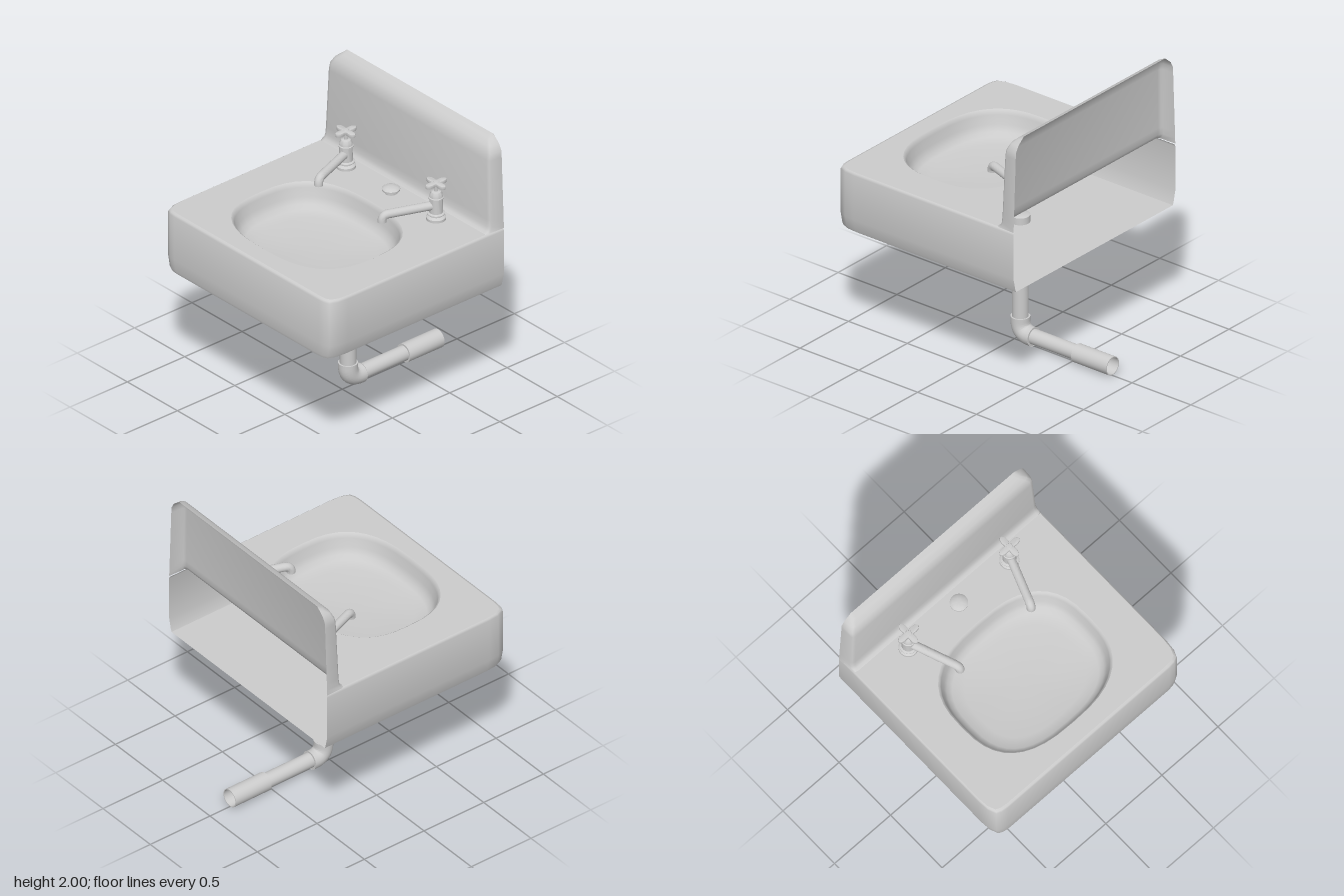
import * as THREE from 'three';
import { toCreasedNormals } from 'three/addons/utils/BufferGeometryUtils.js';

const material = new THREE.MeshStandardMaterial({ color: 0xcccccc, side: THREE.DoubleSide });

function add(parent, name, geometry, crease = 0.7) {
  const mesh = new THREE.Mesh(toCreasedNormals(geometry, crease), material);
  mesh.name = name;
  parent.add(mesh);
  return mesh;
}

// Surface through rows of [x, y, z] points
function loft(rows) {
  const n = rows[0].length, index = [];
  for (let i = 0; i < rows.length - 1; i++) {
    for (let j = 0; j < n - 1; j++) {
      const a = i * n + j, b = a + 1, c = a + n, d = c + 1;
      index.push(a, b, c, b, d, c);
    }
  }
  const g = new THREE.BufferGeometry();
  g.setAttribute('position', new THREE.Float32BufferAttribute(rows.flat(2), 3));
  g.setIndex(index);
  return g;
}

const lathe = (points, sides = 28) =>
  new THREE.LatheGeometry(points.map(([r, y]) => new THREE.Vector2(r, y)), sides);

// Flat horizontal sheet from [x, z] outlines
function sheet(outline, y, hole) {
  const vectors = (list) => list.map(([x, z]) => new THREE.Vector2(x, -z));
  const shape = new THREE.Shape(vectors(outline));
  if (hole) shape.holes.push(new THREE.Path(vectors(hole)));
  return new THREE.ShapeGeometry(shape).rotateX(-Math.PI / 2).translate(0, y, 0);
}

// Tube running a -> corner -> b with a rounded bend
function bentTube(a, corner, b, bend, radius) {
  const [A, C, B] = [a, corner, b].map((p) => new THREE.Vector3(...p));
  const p = C.clone().add(A.clone().sub(C).setLength(bend));
  const q = C.clone().add(B.clone().sub(C).setLength(bend));
  const path = new THREE.CurvePath();
  path.add(new THREE.LineCurve3(A, p));
  path.add(new THREE.QuadraticBezierCurve3(p, C, q));
  path.add(new THREE.LineCurve3(q, B));
  return new THREE.TubeGeometry(path, 40, radius, 20);
}

const BACK = 0.68, HALF = 0.835, DECK = 1.33, FLOOR = 0.885;

// Three-sided outline of the basin body, open at the wall
function bodyOutline(dx, dz, back = BACK) {
  const half = [[back, HALF], [-0.68, HALF], [-0.76, 0.828], [-0.815, 0.805], [-0.83, 0.77], [-HALF, 0.72]];
  const full = [...half.map(([x, z]) => [x, -z]), ...half.slice().reverse()];
  return full.map(([x, z]) => [x + dx * (BACK - x) / (BACK + HALF), z * (1 - dz / HALF)]);
}

// Rounded bowl outline
function bowlOutline(scale) {
  const points = [], n = 40, p = 2 / 2.7;
  const pow = (v) => Math.sign(v) * Math.abs(v) ** p;
  for (let i = 0; i <= n; i++) {
    const t = (i % n) / n * Math.PI * 2;
    points.push([-0.22 + 0.47 * scale * pow(Math.cos(t)), -0.57 * scale * pow(Math.sin(t))]);
  }
  return points;
}

function buildBasin() {
  const basin = new THREE.Group();
  basin.name = 'basin';
  // [y, x inset, z inset]
  const levels = [[FLOOR, 0.006, 0.025], [0.905, 0, 0.018], [0.985, 0, 0], [1.31, 0, 0], [1.324, 0.007, 0.004], [DECK, 0.022, 0.012]];
  add(basin, 'bodyWalls', loft(levels.map(([y, dx, dz]) => bodyOutline(dx, dz).map(([x, z]) => [x, y, z]))), 1);
  add(basin, 'underside', sheet(bodyOutline(0.006, 0.025), FLOOR));
  add(basin, 'deck', sheet(bodyOutline(0.022, 0.012, 0.53), DECK, bowlOutline(1).slice(0, -1)));

  // [scale, y]
  const rings = [[1, DECK], [0.98, 1.322], [0.965, 1.295], [0.935, 1.235], [0.9, 1.19], [0.84, 1.167], [0.7, 1.154], [0.4, 1.14], [0, 1.132]];
  add(basin, 'bowl', loft(rings.map(([s, y]) => bowlOutline(s).map(([x, z]) => [x, y, z]))), 1.2);

  // Splashback: profile from the deck fillet to the top edge
  const halfWidth = (y) => y < 1.93
    ? HALF - 0.025 * (y - DECK) / 0.6
    : 0.81 - 0.08 * (y - 1.93) / 0.07;
  const profile = [[0.53, DECK], [0.55, 1.342], [0.562, 1.37], [0.566, 1.42], [0.575, 1.86], [0.583, 1.905], [0.602, 1.95], [0.635, 1.98], [BACK, 2]];
  add(basin, 'splashback', loft(profile.map(([x, y]) => {
    const w = halfWidth(y);
    const side = [[BACK, w], [Math.min(x + 0.02, BACK), w - 0.004], [Math.min(x + 0.006, BACK), w - 0.014], [x, w - 0.035]];
    return [...side.map(([sx, z]) => [sx, y, -z]), ...side.reverse().map(([sx, z]) => [sx, y, z])];
  })), 1);
  return basin;
}

function buildTap(side) {
  const tap = new THREE.Group();
  tap.name = side > 0 ? 'leftTap' : 'rightTap';
  add(tap, 'tapBody', lathe([
    [0, -0.005], [0.066, -0.005], [0.066, 0.018], [0.056, 0.026], [0.048, 0.03], [0.048, 0.04], [0.06, 0.042],
    [0.06, 0.048], [0.046, 0.054], [0.044, 0.155], [0.05, 0.158], [0.05, 0.166], [0.044, 0.17],
    [0.042, 0.19], [0.032, 0.207], [0.014, 0.213], [0.013, 0.262], [0, 0.262]]));
  add(tap, 'spout', bentTube([0, 0.105, 0], [-0.355, 0.105, -0.133 * side], [-0.355, 0.055, -0.133 * side], 0.045, 0.03), 1);

  // Four-lobed handle
  const lobes = [];
  for (let i = 0; i < 64; i++) {
    const t = i / 64 * Math.PI * 2, r = 0.03 + 0.057 * Math.cos(2 * t) ** 2;
    lobes.push(new THREE.Vector2(r * Math.cos(t), r * Math.sin(t)));
  }
  const handle = new THREE.ExtrudeGeometry(new THREE.Shape(lobes), {
    depth: 0.014, bevelSize: 0.004, bevelOffset: -0.004, bevelThickness: 0.006, bevelSegments: 2 });
  add(tap, 'crossHandle', handle.rotateX(-Math.PI / 2).translate(0, 0.26, 0));
  add(tap, 'handleCap', lathe([[0.022, 0.278], [0.018, 0.284], [0, 0.286]]));
  tap.position.set(0.425, DECK, 0.45 * side);
  return tap;
}

function buildDrain() {
  const drain = new THREE.Group();
  drain.name = 'drain';
  const x = 0.05, y = 0.066;
  add(drain, 'downPipe', lathe([[0.055, 0.17], [0.055, 0.86], [0.066, 0.86], [0.066, 0.935], [0.055, 0.94], [0, 0.94]])).position.x = x;
  add(drain, 'elbow', bentTube([x, 0.188, 0], [x, y, 0], [0.165, y, 0], 0.095, 0.066), 1);
  add(drain, 'elbowTopRim', lathe([[0.066, 0.188], [0.05, 0.188]])).position.x = x;
  const outlet = add(drain, 'outletPipe', lathe([
    [0.066, 0.165], [0.053, 0.165], [0.053, 0.535], [0.066, 0.535], [0.066, 0.835], [0.06, 0.835], [0.06, 0.54]]));
  outlet.rotation.z = -Math.PI / 2;
  outlet.position.y = y + 0.004;
  return drain;
}

export function createModel() {
  const model = new THREE.Group();
  model.name = 'washbasin';
  model.add(buildBasin(), buildTap(1), buildTap(-1), buildDrain());

  // Button between the taps
  const knob = add(model, 'deckKnob', lathe([
    [0, -0.005], [0.042, -0.005], [0.042, 0.016], [0.06, 0.022], [0.061, 0.034], [0.045, 0.046], [0.02, 0.051], [0, 0.052]]));
  knob.position.set(0.425, DECK, 0);
  return model;
}
